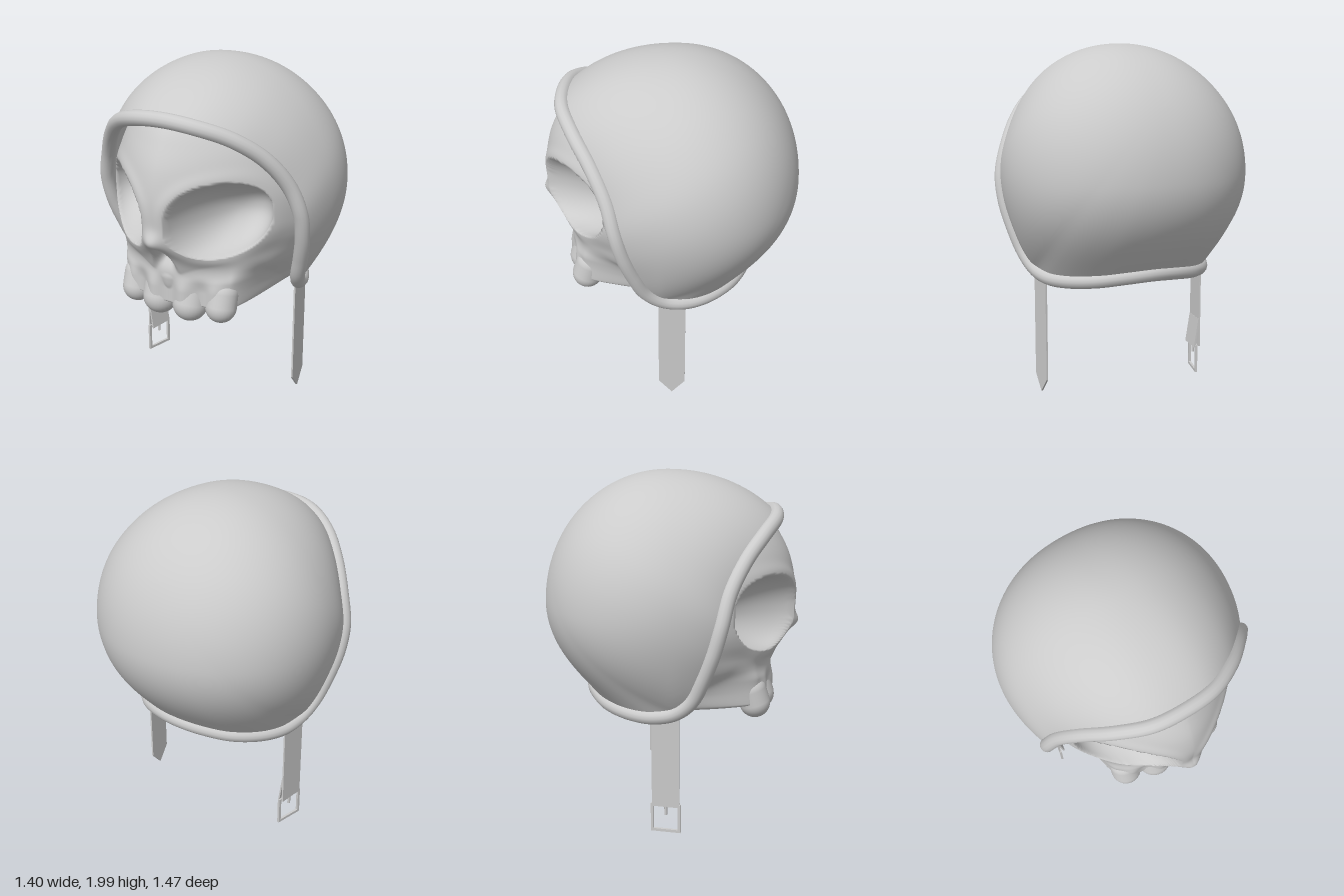
import * as THREE from 'three';

const material = new THREE.MeshStandardMaterial({ color: 0xcccccc, side: THREE.DoubleSide });
const V = (x, y, z) => new THREE.Vector3(x, y, z);
const smooth = (t) => THREE.MathUtils.smoothstep(t, 0, 1);

function add(parent, geometry, name, x = 0, y = 0, z = 0) {
  const mesh = new THREE.Mesh(geometry, material);
  mesh.name = name;
  mesh.position.set(x, y, z);
  parent.add(mesh);
  return mesh;
}

// Smooth surface from rings of points; i runs round each ring, j from ring to ring
function loft(n, rows, point) {
  const pos = [], index = [];
  for (let j = 0; j <= rows; j++) {
    for (let i = 0; i < n; i++) pos.push(...point(i / n, j / rows).toArray());
  }
  for (let j = 0; j < rows; j++) {
    for (let i = 0; i < n; i++) {
      const a = j * n + i, b = j * n + (i + 1) % n;
      index.push(a, b, a + n, b, b + n, a + n);
    }
  }
  const g = new THREE.BufferGeometry();
  g.setAttribute('position', new THREE.Float32BufferAttribute(pos, 3));
  g.setIndex(index);
  g.computeVertexNormals();
  return g;
}

// Helmet opening: one half from brow to nape, then mirrored
const half = [
  [0, 1.76, 0.58], [0.18, 1.742, 0.56], [0.35, 1.68, 0.475], [0.485, 1.565, 0.365],
  [0.58, 1.41, 0.275], [0.63, 1.25, 0.23], [0.628, 1.1, 0.19], [0.597, 0.95, 0.14],
  [0.555, 0.81, 0.08], [0.52, 0.73, -0.01], [0.485, 0.7, -0.13], [0.42, 0.7, -0.25],
  [0.3, 0.715, -0.37], [0.15, 0.735, -0.44], [0, 0.745, -0.465],
].map((p) => V(...p));
const mirrored = half.slice(1, -1).reverse().map((p) => V(-p.x, p.y, p.z));
const rimCurve = new THREE.CatmullRomCurve3([...half, ...mirrored], true);

// Helmet shell: sweeps from the opening to a pole at the upper back
function shellGeometry() {
  const centre = V(0, 1.27, -0.01), pole = V(0, 0.55, -0.83).normalize();
  const radius = (d) => {
    const ry = d.y > 0 ? 0.73 : 0.79, rz = d.z > 0 ? 0.88 : 0.72, p = 2.15;
    const flat = (Math.abs(d.x / 0.735) ** p + Math.abs(d.z / rz) ** p) ** (1 / p);
    const taper = 0.42 * Math.max(0, -d.y) ** 2 * Math.max(0, -d.z);
    return (1 - taper) / Math.hypot(flat, d.y / ry);
  };
  return loft(144, 56, (u, t) => {
    const start = rimCurve.getPoint(u).sub(centre);
    const rimRadius = start.length();
    start.normalize();
    const angle = start.angleTo(pole);
    const d = start.clone().multiplyScalar(Math.sin((1 - t) * angle))
      .addScaledVector(pole, Math.sin(t * angle)).normalize();
    const fit = 1 + (rimRadius / radius(start) - 1) * (1 - t) ** 3;
    return d.multiplyScalar(radius(d) * fit).add(centre);
  });
}

// Skull sections: height, half width, front z, back z
const sections = [
  [0.7, 0, -0.1, -0.1], [0.695, 0.3, 0.35, -0.3], [0.72, 0.44, 0.5, -0.4],
  [0.8, 0.49, 0.56, -0.46], [0.9, 0.54, 0.585, -0.52], [1.0, 0.585, 0.625, -0.57],
  [1.1, 0.62, 0.68, -0.6], [1.2, 0.635, 0.7, -0.64], [1.35, 0.63, 0.705, -0.66],
  [1.5, 0.59, 0.675, -0.62], [1.62, 0.53, 0.62, -0.55], [1.72, 0.43, 0.55, -0.45],
  [1.82, 0.3, 0.42, -0.33], [1.9, 0.15, 0.2, -0.2], [1.92, 0, -0.1, -0.1],
];

// Depth change of the face: eye sockets, brow, cheeks and nose
function faceRelief(x, y) {
  const ax = Math.abs(x);
  const ex = ax - 0.288, ey = y - 1.235 - ex * 0.12;
  const q = (Math.abs(ex / 0.22) ** 2.2 + Math.abs(ey / 0.212) ** 2.2) ** (1 / 2.2);
  let dz = q < 1 ? -0.33 * (1 - q * q) ** 0.8 : 0;
  dz += 0.01 * Math.exp(-(((q - 1.12) / 0.18) ** 2));
  dz += 0.04 * Math.exp(-(((ax - 0.4) / 0.14) ** 2) - ((y - 0.95) / 0.08) ** 2);
  dz += 0.045 * Math.exp(-((x / 0.055) ** 2) - ((y - 1.115) / 0.055) ** 2);
  const width = 0.035 + 0.35 * Math.max(0, 1.08 - y);
  dz -= 0.1 * smooth((1 - ax / width) * 1.3) * smooth((1.09 - y) / 0.05) * smooth((y - 0.86) / 0.16);
  return dz;
}

// Upper jaw that the teeth grow from
function jawDepth(x, y, z) {
  const ax = Math.abs(x);
  const root = 0.015 * Math.cos((ax - 0.098) / 0.18 * Math.PI * 2) * smooth((0.9 - y) / 0.1);
  const target = 0.573 - 0.9 * x * x + root;
  const blend = smooth((0.44 - ax) / 0.1) * smooth((1.02 - y) / 0.16) * smooth((y - 0.66) / 0.06);
  return z + Math.max(0, target - z) * blend;
}

function skullGeometry() {
  const widths = new THREE.CatmullRomCurve3(sections.map((s) => V(s[0], s[1], 0)), false, 'catmullrom');
  const depths = new THREE.CatmullRomCurve3(sections.map((s) => V(s[0], s[2], s[3])), false, 'catmullrom');
  const midZ = -0.1;
  return loft(264, 190, (u, v) => {
    const a = u * Math.PI * 2 - 0.3 * Math.sin(u * Math.PI * 2);
    const s = Math.sin(a), c = Math.cos(a);
    const { x: y, y: w } = widths.getPoint(v);
    const { y: front, z: back } = depths.getPoint(v);
    const e = c > 0 ? 1.18 + 0.2 * smooth((0.94 - y) / 0.2) : 1;
    const x = w * Math.sign(s) * Math.abs(s) ** e;
    let z = midZ + ((c > 0 ? front : back) - midZ) * Math.abs(c) ** e;
    if (c > 0) z = jawDepth(x, y, z + faceRelief(x, y) * smooth((z + 0.02) / 0.25));
    return V(x, y, z);
  });
}

// Flat strap in the side plane, with an optional pointed end
function strapGeometry(top, bottom, tip) {
  const w = 0.077;
  const s = new THREE.Shape();
  s.moveTo(-w, top);
  s.lineTo(-w, bottom + tip);
  if (tip) s.lineTo(0, bottom);
  s.lineTo(w, bottom + tip);
  s.lineTo(w, top);
  s.closePath();
  const g = new THREE.ExtrudeGeometry(s, { depth: 0.01, bevelEnabled: false });
  return g.translate(0, 0, -0.005).rotateY(-Math.PI / 2);
}

// Square buckle frame with a prong
function buckle() {
  const group = new THREE.Group();
  group.name = 'buckle';
  const s = new THREE.Shape();
  s.moveTo(-0.086, 0); s.lineTo(0.086, 0); s.lineTo(0.086, 0.17); s.lineTo(-0.086, 0.17);
  s.closePath();
  const h = new THREE.Path();
  h.moveTo(-0.07, 0.016); h.lineTo(-0.07, 0.154); h.lineTo(0.07, 0.154); h.lineTo(0.07, 0.016);
  h.closePath();
  s.holes.push(h);
  const g = new THREE.ExtrudeGeometry(s, { depth: 0.014, bevelEnabled: false });
  add(group, g.translate(0, 0, -0.007).rotateY(-Math.PI / 2), 'buckleFrame');
  add(group, new THREE.CylinderGeometry(0.009, 0.009, 0.06, 10), 'bucklePin', 0, 0.135, 0);
  return group;
}

export function createModel() {
  const model = new THREE.Group();
  model.name = 'helmetedSkull';

  // Helmet
  const helmet = new THREE.Group();
  helmet.name = 'helmet';
  model.add(helmet);
  add(helmet, shellGeometry(), 'helmetShell');
  add(helmet, new THREE.TubeGeometry(rimCurve, 200, 0.042, 14, true), 'helmetRim');

  // Skull and upper teeth, their roots leaning back into the jaw
  const skull = new THREE.Group();
  skull.name = 'skull';
  model.add(skull);
  add(skull, skullGeometry(), 'skullBone');
  for (const side of [-1, 1]) {
    const front = add(skull, new THREE.CapsuleGeometry(0.1, 0.08, 10, 28), 'frontTooth', side * 0.098, 0.74, 0.478);
    const outer = add(skull, new THREE.CapsuleGeometry(0.088, 0.08, 10, 28), 'sideTooth', side * 0.275, 0.745, 0.445);
    front.rotation.x = outer.rotation.x = -0.3;
  }

  // Chin straps: pointed on the left, buckled on the right
  const leftStrap = add(model, strapGeometry(0.78, 0.01, 0.09), 'leftStrap', 0.505, 0, -0.06);
  leftStrap.rotation.y = 0.06;
  const buckled = new THREE.Group();
  buckled.name = 'buckledStrap';
  buckled.position.set(-0.5, 0, -0.06);
  buckled.rotation.y = -0.15;
  model.add(buckled);
  add(buckled, strapGeometry(0.78, 0.17, 0), 'rightStrap');
  const fold = add(buckled, strapGeometry(0, -0.18, 0), 'strapFold', 0.002, 0.34, 0);
  fold.rotation.z = 0.15;
  const clasp = buckle();
  clasp.position.set(0.012, 0.008, 0);
  clasp.rotation.y = -0.1;
  buckled.add(clasp);

  return model;
}
